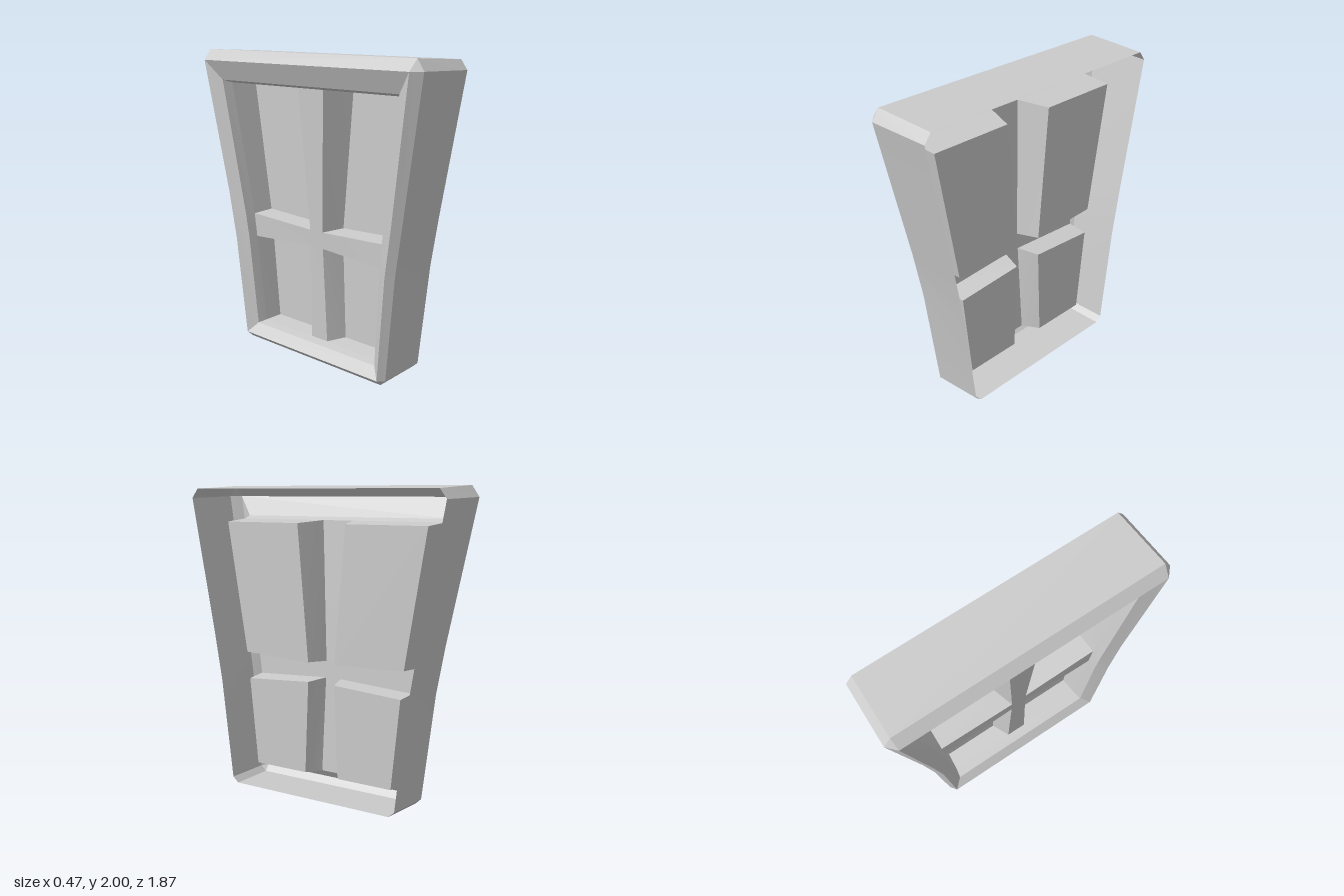
import * as THREE from 'three';
import { toCreasedNormals } from 'three/addons/utils/BufferGeometryUtils.js';

const material = new THREE.MeshStandardMaterial({ color: 0xcccccc, side: THREE.DoubleSide });

// Mirror a half outline (+z side, bottom to top) into a closed loop
const mirrored = (half) => [...half, ...half.map(([x, y, z]) => [x, y, -z]).reverse()];

// Quads between consecutive loops with equal point counts
function bridge(loops) {
  const quads = [];
  for (let k = 0; k < loops.length - 1; k++) {
    const a = loops[k], b = loops[k + 1];
    a.forEach((p, i) => {
      const j = (i + 1) % a.length;
      quads.push([p, a[j], b[j], b[i]]);
    });
  }
  return quads;
}

function quadMesh(name, quads, crease) {
  const positions = [];
  const v = (p) => new THREE.Vector3(...p);
  for (const [a, b, c, d] of quads) {
    for (const tri of [[a, b, c], [a, c, d]]) {
      if (new THREE.Triangle(...tri.map(v)).getArea() > 1e-7) positions.push(...tri.flat());
    }
  }
  let geometry = new THREE.BufferGeometry();
  geometry.setAttribute('position', new THREE.Float32BufferAttribute(positions, 3));
  geometry.computeVertexNormals();
  geometry = toCreasedNormals(geometry, crease);
  const mesh = new THREE.Mesh(geometry, material);
  mesh.name = name;
  return mesh;
}

export function createModel() {
  const model = new THREE.Group();
  model.name = 'windowPanel';

  // Tapered frame shell: open rim, shoulder, bevelled front edge
  const rim = mirrored([
    [0.235, 0.015, 0.58], [0.235, 0.05, 0.62], [0.235, 0.72, 0.7],
    [0.235, 1.04, 0.755], [0.235, 1.92, 0.92], [0.235, 1.98, 0.875],
  ]);
  const shoulder = mirrored([
    [-0.1, 0, 0.597], [-0.1, 0.035, 0.634], [-0.12, 0.72, 0.712],
    [-0.13, 1.04, 0.767], [-0.18, 1.93, 0.935], [-0.18, 2, 0.887],
  ]);
  const frontEdge = mirrored([
    [-0.145, 0.04, 0.603], [-0.145, 0.04, 0.603], [-0.168, 0.72, 0.672],
    [-0.18, 1.04, 0.725], [-0.24, 1.93, 0.88], [-0.24, 1.93, 0.88],
  ]);
  // Sloped face leading into the opening
  const opening = mirrored([
    [-0.095, 0.11, 0.54], [-0.095, 0.11, 0.54], [-0.12, 0.72, 0.592],
    [-0.13, 0.89, 0.612], [-0.18, 1.8, 0.767], [-0.18, 1.8, 0.767],
  ]);
  // Depth at which the crossbars meet the opening
  const barLevel = mirrored([
    [-0.03, 0.12, 0.527], [-0.03, 0.12, 0.527], [-0.055, 0.725, 0.585],
    [-0.06, 0.885, 0.602], [-0.11, 1.78, 0.752], [-0.11, 1.78, 0.752],
  ]);
  model.add(quadMesh('frame', bridge([rim, shoulder, frontEdge, opening, barLevel]), 0.5));

  // Drafted window pockets, each closed by a flat pane
  const paneX = 0.09;
  const upper = {
    mouth: [[-0.06, 0.885, 0.602], [-0.11, 1.78, 0.752], [-0.11, 1.78, 0.11], [-0.06, 0.865, 0.055]],
    pane: [[paneX, 0.895, 0.595], [paneX, 1.765, 0.74], [paneX, 1.765, 0.178], [paneX, 0.875, 0.1]],
  };
  const lower = {
    mouth: [[-0.03, 0.12, 0.527], [-0.055, 0.725, 0.585], [-0.055, 0.755, 0.055], [-0.03, 0.12, 0.07]],
    pane: [[paneX, 0.13, 0.515], [paneX, 0.715, 0.575], [paneX, 0.745, 0.1], [paneX, 0.13, 0.125]],
  };
  const flip = (loop) => loop.map(([x, y, z]) => [x, y, -z]).reverse();
  for (const [label, { mouth, pane }] of [['upper', upper], ['lower', lower]]) {
    for (const [side, turn] of [['Front', (l) => l], ['Rear', flip]]) {
      const m = turn(mouth), p = turn(pane);
      model.add(quadMesh(`${label}${side}Pocket`, bridge([m, p]), 0.3));
      model.add(quadMesh(`${label}${side}Pane`, [p], 0.3));
    }
  }

  // Faces of the crossbars between the pockets
  const mirrorZ = ([x, y, z]) => [x, y, -z];
  const [upOuter, , upTop, upInner] = upper.mouth;
  const [, lowOuter, lowInner, lowBottom] = lower.mouth;
  const upright = (bottom, top) => [bottom, top, mirrorZ(top), mirrorZ(bottom)];
  const arm = [lowOuter, upOuter, upInner, lowInner];
  model.add(quadMesh('crossbars', [
    upright(upInner, upTop), upright(lowInner, upInner), upright(lowBottom, lowInner),
    arm, flip(arm),
  ], 0.3));

  return model;
}
